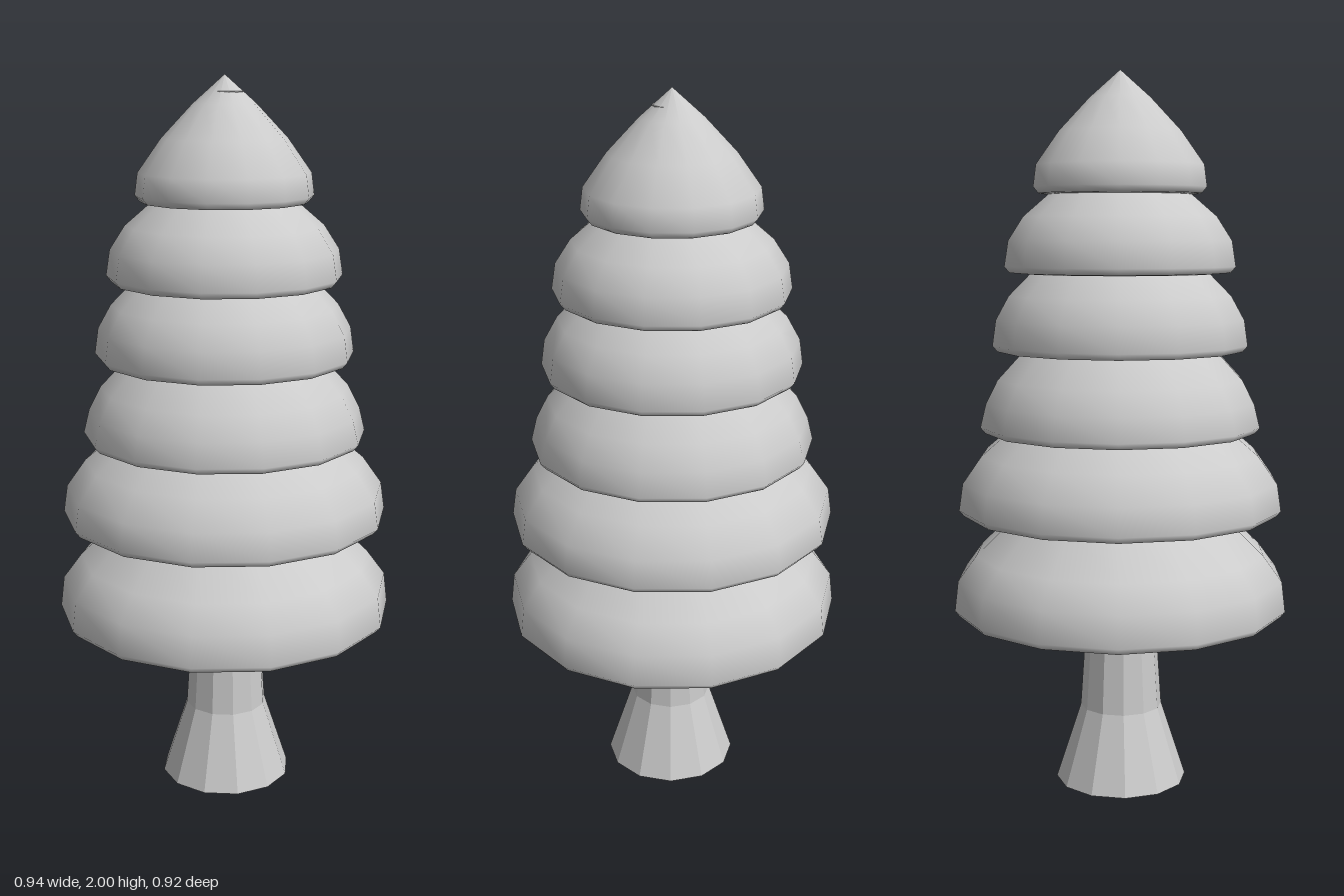
import * as THREE from 'three';

const SIDES = 14;

// Revolve [radius, y] pairs, with a corner pointing along +x
function revolve(name, profile, sides, material) {
  const points = profile.map(([r, y]) => new THREE.Vector2(r, y));
  const mesh = new THREE.Mesh(new THREE.LatheGeometry(points, sides, Math.PI / 2), material);
  mesh.name = name;
  return mesh;
}

export function createModel() {
  const tree = new THREE.Group();
  tree.name = 'tree';

  const foliage = new THREE.MeshStandardMaterial({ color: 0xcccccc });
  const bark = new THREE.MeshStandardMaterial({
    color: 0xcccccc, flatShading: true, side: THREE.DoubleSide,
  });

  // Flared trunk, open at the foot, running up through the foliage to the tip
  const trunk = revolve('trunk', [
    [0.186, 0], [0.116, 0.215], [0.097, 0.5], [0.047, 1.957], [0, 1.957],
  ], 12, bark);
  trunk.position.x = 0.005;
  tree.add(trunk);

  // Foliage tiers: base height, rim radius, then the shoulder curve up into the next tier
  const tiers = [
    { y: 0.495, r: 0.472, curve: [[0.462, 0.6], [0.41, 0.67], [0.295, 0.78], [0.24, 0.83]] },
    { y: 0.78, r: 0.456, curve: [[0.445, 0.875], [0.392, 0.95], [0.315, 1.015], [0.24, 1.07]] },
    { y: 1.01, r: 0.394, curve: [[0.378, 1.095], [0.345, 1.16], [0.275, 1.235], [0.2, 1.3]] },
    { y: 1.235, r: 0.358, curve: [[0.348, 1.325], [0.312, 1.39], [0.252, 1.45], [0.18, 1.51]] },
    { y: 1.45, r: 0.323, curve: [[0.312, 1.54], [0.27, 1.605], [0.2, 1.665], [0.12, 1.73]] },
    { y: 1.665, r: 0.242, curve: [[0.234, 1.745], [0.17, 1.835], [0.085, 1.925], [0, 2]] },
  ];

  tiers.forEach(({ y, r, curve }, i) => {
    tree.add(revolve(`foliageTier${i + 1}`, [
      [0, y], [r - 0.05, y], [r - 0.014, y + 0.003], [r, y + 0.02], ...curve,
    ], SIDES, foliage));
  });

  return tree;
}
